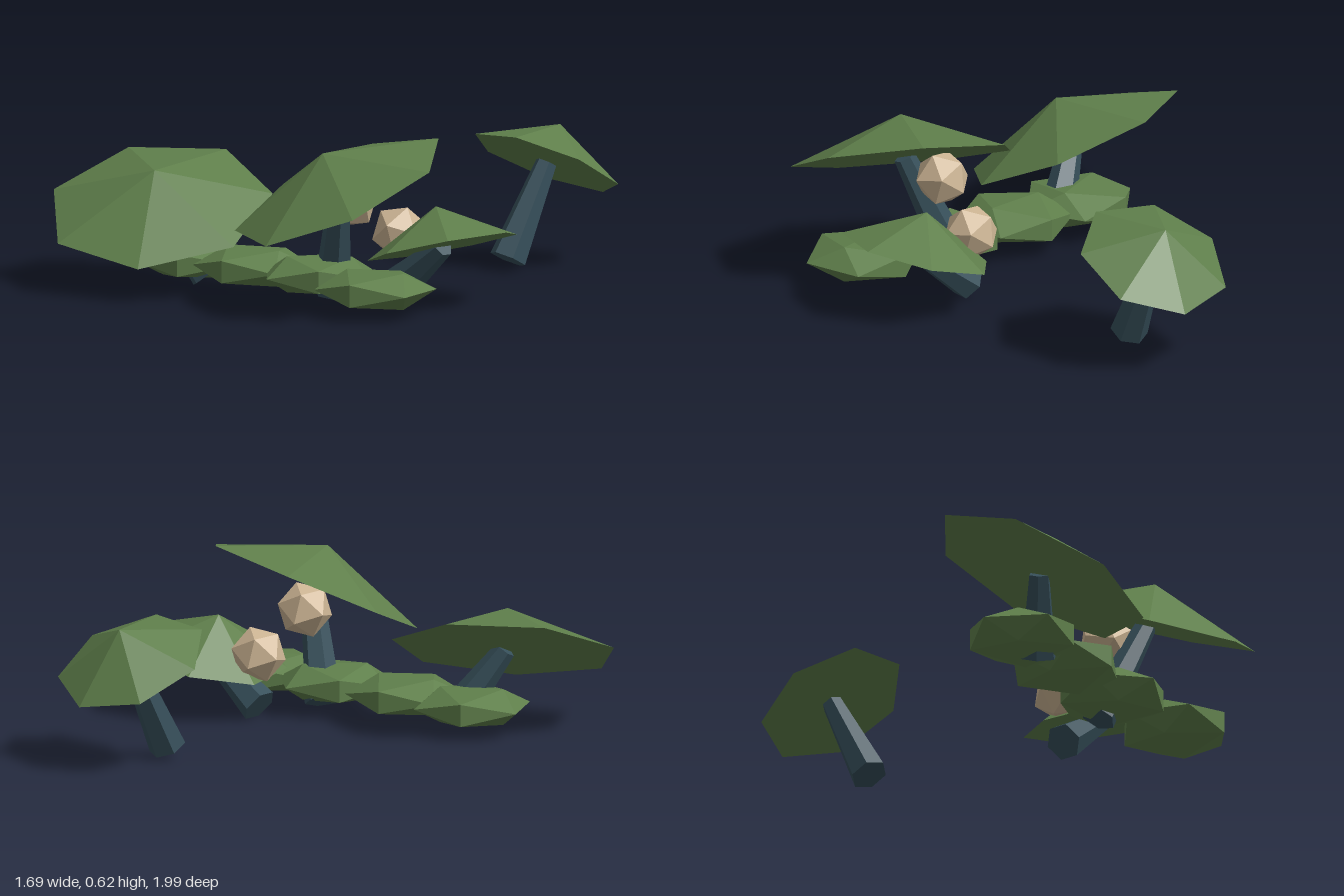
import * as THREE from 'three';

const flat = (name, color) => {
  const m = new THREE.MeshStandardMaterial({ color, flatShading: true });
  m.name = name;
  return m;
};
const V = (a) => new THREE.Vector3(...a);

// centre = middle of the cap's underside, rim = one corner of it, foot = bottom of the stem
const MUSHROOMS = [
  { name: 'largeLeftMushroom', radius: 0.42, height: 0.155, centre: [-0.459, 0.305, 0.609], normal: [0.25, 1, 0.385], rim: [-0.51, 0.455, 0.22], foot: [-0.31, 0.055, 0.5] },
  { name: 'largeRightMushroom', radius: 0.42, height: 0.157, centre: [0.384, 0.448, 0.494], normal: [-0.19, 1, 0.42], rim: [0.4, 0.3, 0.884], foot: [0.23, 0.05, 0.385] },
  { name: 'smallMushroom', radius: 0.286, height: 0.15, centre: [0.574, 0.226, 0.152], normal: [-0.29, 1, -0.02], rim: [0.574, 0.226, 0.438], foot: [0.34, 0.055, 0.155] },
  { name: 'distantMushroom', radius: 0.285, height: 0.152, centre: [0.163, 0.385, -0.754], normal: [-0.02, 1, -0.54], rim: [0.2, 0.252, -1], foot: [0.145, 0.045, -0.577] },
];

// Squashed leafy clumps: position and turn about y
const CLUMPS = [
  [-0.4, 0.105, 0.49, 0.5],
  [-0.1, 0.11, 0.47, 0.15],
  [0.23, 0.115, 0.45, 0.8],
  [0.57, 0.105, 0.49, 0.3],
];

// Pale faceted balls
const BALLS = [
  [0.335, 0.25, 0.145],
  [0.305, 0.386, 0.368],
];

export function createModel() {
  const green = flat('leafGreen', 0x5f7f4b);
  const slate = flat('stemSlate', 0x364f5a);
  const beige = flat('paleBeige', 0xcdb594);
  const model = new THREE.Group();
  model.name = 'mushroomPatch';

  const add = (parent, name, geometry, material) => {
    const mesh = new THREE.Mesh(geometry, material);
    mesh.name = name;
    parent.add(mesh);
    return mesh;
  };

  for (const s of MUSHROOMS) {
    const group = new THREE.Group();
    group.name = s.name;
    model.add(group);
    const centre = V(s.centre), foot = V(s.foot);

    // Seven-sided cap, turned so one corner meets the rim point
    const up = V(s.normal).normalize();
    const out = V(s.rim).sub(centre).projectOnPlane(up).normalize();
    const side = new THREE.Vector3().crossVectors(up, out);
    const capGeometry = new THREE.ConeGeometry(s.radius, s.height, 7).translate(0, s.height / 2, 0);
    const cap = add(group, 'cap', capGeometry, green);
    cap.quaternion.setFromRotationMatrix(new THREE.Matrix4().makeBasis(side, up, out));
    cap.position.copy(centre);

    // Tapered stem from the foot to the cap
    const axis = centre.clone().sub(foot);
    const length = axis.length();
    const stemGeometry = new THREE.CylinderGeometry(0.04, 0.07, length, 6).translate(0, length / 2, 0);
    const stem = add(group, 'stem', stemGeometry, slate);
    stem.quaternion.setFromUnitVectors(new THREE.Vector3(0, 1, 0), axis.normalize());
    stem.position.copy(foot);
  }

  for (const [x, y, z, turn] of CLUMPS) {
    const clump = add(model, 'leafClump', new THREE.IcosahedronGeometry(0.225, 0), green);
    clump.scale.y = 0.35;
    clump.rotation.y = turn;
    clump.position.set(x, y, z);
  }

  for (const [x, y, z] of BALLS) {
    const ball = add(model, 'paleBall', new THREE.IcosahedronGeometry(0.105, 0), beige);
    ball.rotation.set(0.2, 0.4, 0.1);
    ball.position.set(x, y, z);
  }

  return model;
}
